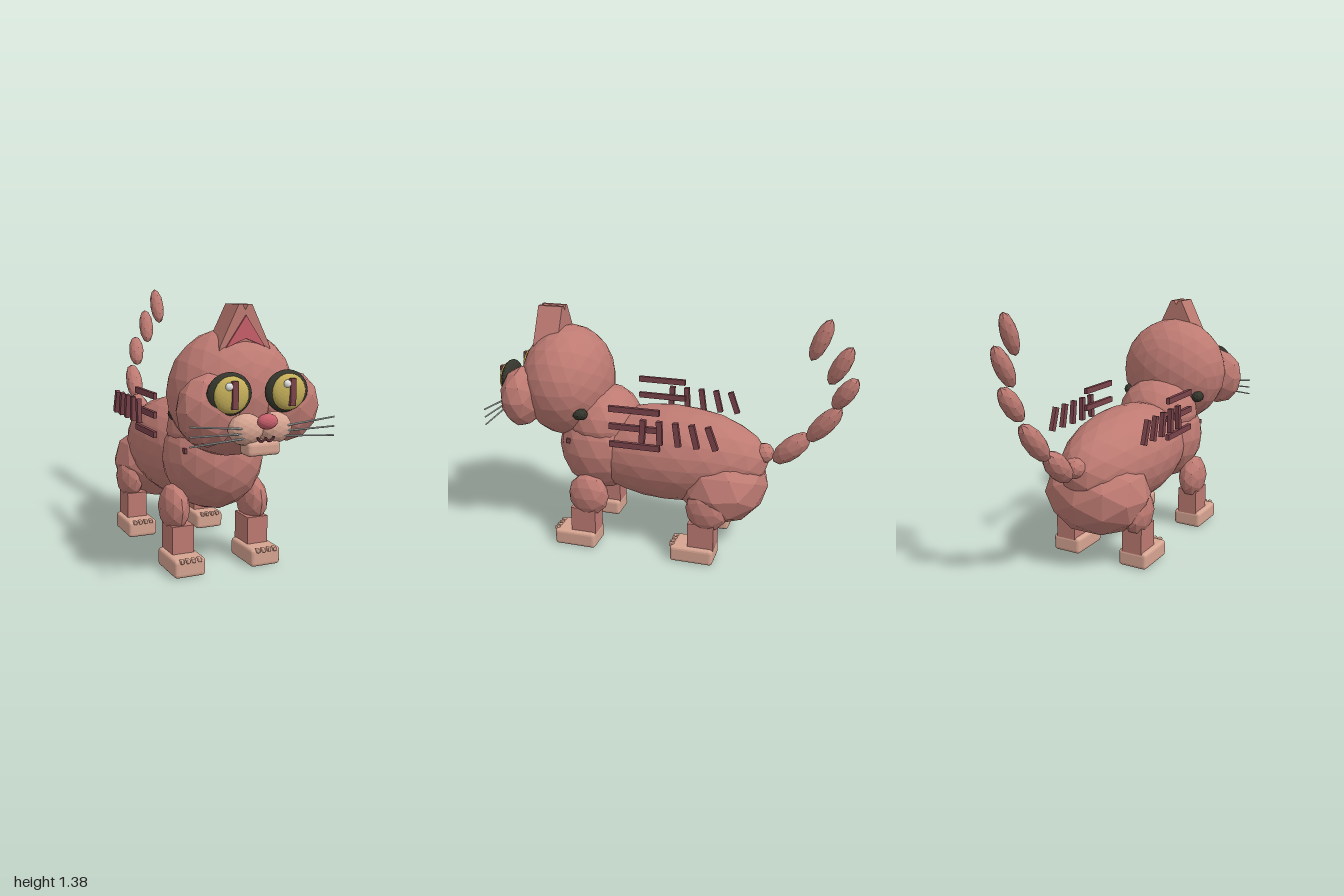
import * as THREE from 'three';
import { RoundedBoxGeometry } from 'three/addons/geometries/RoundedBoxGeometry.js';

const mat = (name, color) => {
  const m = new THREE.MeshStandardMaterial({ color, flatShading: true });
  m.name = name;
  return m;
};

export function createModel() {
  const fur = mat('rosy fur', 0xbd7a72);
  const tan = mat('pale paw', 0xd6a491);
  const stripe = mat('maroon stripe', 0x7b444b);
  const dark = mat('dark rim', 0x34352c);
  const gold = mat('golden eye', 0xc6b05a);
  const pink = mat('pink', 0xc75f6b);
  const white = mat('white glint', 0xeeeeea);
  const grey = mat('whisker grey', 0xc4cac6);

  const model = new THREE.Group();
  model.name = 'cat';

  const add = (name, geometry, material, x, y, z) => {
    const mesh = new THREE.Mesh(geometry, material);
    mesh.name = name;
    mesh.position.set(x, y, z);
    model.add(mesh);
    return mesh;
  };
  // faceted ellipsoid
  const blob = (name, material, [x, y, z], [rx, ry, rz], detail = 1) =>
    add(name, new THREE.IcosahedronGeometry(1, detail).scale(rx, ry, rz), material, x, y, z);
  const box = (name, material, [x, y, z], [w, h, d]) =>
    add(name, new THREE.BoxGeometry(w, h, d), material, x, y, z);
  const rounded = (name, material, [x, y, z], [w, h, d], r) =>
    add(name, new RoundedBoxGeometry(w, h, d, 2, r), material, x, y, z);

  // torso
  blob('body', fur, [0, 0.53, 0], [0.26, 0.27, 0.55], 3);
  blob('chest', fur, [0, 0.55, 0.4], [0.26, 0.27, 0.25], 2);
  blob('neck', fur, [0, 0.69, 0.39], [0.235, 0.2, 0.21], 2);
  blob('hips', fur, [0, 0.39, -0.305], [0.295, 0.225, 0.25], 1);

  // head and muzzle
  blob('head', fur, [0, 0.905, 0.6], [0.317, 0.31, 0.255], 3);
  rounded('chin', tan, [0, 0.692, 0.905], [0.165, 0.065, 0.09], 0.018);
  blob('nose', pink, [0, 0.82, 0.968], [0.049, 0.036, 0.032], 2);

  for (const s of [-1, 1]) {
    const side = s > 0 ? 'left' : 'right';
    blob(side + 'Cheek', fur, [s * 0.205, 0.855, 0.79], [0.155, 0.17, 0.115], 1);
    blob(side + 'Muzzle', tan, [s * 0.072, 0.778, 0.9], [0.085, 0.073, 0.06], 2);
    blob(side + 'NeckPatch', dark, [s * 0.226, 0.79, 0.45], [0.034, 0.034, 0.045], 1);

    // mouth curve
    const smile = add(side + 'Mouth', new THREE.TorusGeometry(0.02, 0.006, 6, 8, Math.PI),
      stripe, s * 0.02, 0.75, 0.955);
    smile.rotation.z = Math.PI;

    // eye: rim, pointed outer corner, iris, slit pupil, glint
    const ex = s * 0.144;
    blob(side + 'EyeRim', dark, [ex, 0.937, 0.88], [0.11, 0.098, 0.035], 4);
    const corner = add(side + 'EyeCorner', new THREE.ConeGeometry(0.06, 0.06, 8).scale(1, 1, 0.4),
      dark, s * 0.225, 0.945, 0.878);
    corner.rotation.z = -s * Math.PI / 2;
    blob(side + 'Iris', gold, [ex, 0.935, 0.9], [0.086, 0.084, 0.035], 4);
    box(side + 'Pupil', stripe, [ex, 0.938, 0.934], [0.028, 0.123, 0.02]);
    blob(side + 'Glint', white, [ex - 0.026, 0.977, 0.933], [0.018, 0.018, 0.014], 2);

    // ear slab with an inner triangle on its front
    const pts = [[0, 1.1], [0.135, 1.1], [0.125, 1.14], [0.034, 1.325], [0.014, 1.325], [0, 1.3]];
    const ear = new THREE.Shape(pts.map(([x, y]) => new THREE.Vector2(s * x, y)));
    add(side + 'Ear', new THREE.ExtrudeGeometry(ear, { depth: 0.14, bevelEnabled: false }),
      fur, 0, 0, 0.607);
    const inner = new THREE.Shape([[0, 1.275], [0, 1.17], [0.1, 1.13]]
      .map(([x, y]) => new THREE.Vector2(s * x, y)));
    add(side + 'InnerEar', new THREE.ExtrudeGeometry(inner, { depth: 0.009, bevelEnabled: false }),
      pink, 0, 0, 0.747);

    // whiskers
    for (const [y0, y1] of [[0.79, 0.815], [0.767, 0.771], [0.746, 0.728]]) {
      const a = new THREE.Vector3(s * 0.1, y0, 0.945), b = new THREE.Vector3(s * 0.362, y1, 0.945);
      const w = add(side + 'Whisker', new THREE.CylinderGeometry(0.004, 0.005, a.distanceTo(b), 6),
        grey, 0, 0, 0);
      w.position.copy(a).lerp(b, 0.5);
      w.quaternion.setFromUnitVectors(new THREE.Vector3(0, 1, 0), b.clone().sub(a).normalize());
    }

    // legs and paws
    for (const [part, z] of [['Front', 0.42], ['Hind', -0.26]]) {
      const name = side + part;
      blob(name + 'UpperLeg', fur, [s * 0.22, 0.31, z], [0.074, 0.125, 0.118], 1);
      box(name + 'LowerLeg', fur, [s * 0.208, 0.16, z + 0.022], [0.115, 0.15, 0.145]);
      rounded(name + 'Paw', tan, [s * 0.208, 0.048, z + 0.07], [0.165, 0.092, 0.24], 0.018);
      for (let i = 0; i < 4; i++)
        rounded(name + 'Toe', tan, [s * 0.208 + (i - 1.5) * 0.031, 0.088, z + 0.185],
          [0.02, 0.022, 0.03], 0.006);
    }

    // flank stripes: three level bars, five slanted ones, and a chest mark
    for (const y of [0.855, 0.757, 0.655])
      box(side + 'LongStripe', stripe, [s * 0.26, y, 0.13], [0.02, 0.032, 0.28]);
    for (let i = 0; i < 5; i++) {
      const bar = box(side + 'SlantedStripe', stripe, [s * 0.28, 0.753, 0.077 - i * 0.093],
        [0.024, 0.13, 0.03]);
      bar.rotation.x = -0.08 + i * 0.105;
    }
    box(side + 'ChestMark', stripe, [s * 0.207, 0.618, 0.53], [0.014, 0.026, 0.025]);
  }

  // tail: separate elongated beads [centre, direction, half length, radius]
  blob('tailBase', fur, [0, 0.585, -0.525], [0.06, 0.055, 0.055], 1);
  const beads = [
    [[0, 0.63, -0.67], [0, 0.19, -0.2], 0.13, 0.06],
    [[0.015, 0.79, -0.833], [0.02, 0.21, -0.17], 0.135, 0.053],
    [[0.065, 0.985, -0.93], [0.03, 0.19, -0.12], 0.105, 0.048],
    [[0.125, 1.147, -0.9], [0.02, 0.2, -0.1], 0.115, 0.045],
    [[0.163, 1.28, -0.8], [0, 0.21, -0.085], 0.115, 0.042],
  ];
  for (const [c, dir, half, r] of beads) {
    const bead = blob('tailBead', fur, c, [r, half, r], 1);
    bead.quaternion.setFromUnitVectors(new THREE.Vector3(0, 1, 0),
      new THREE.Vector3(...dir).normalize());
  }
  return model;
}
